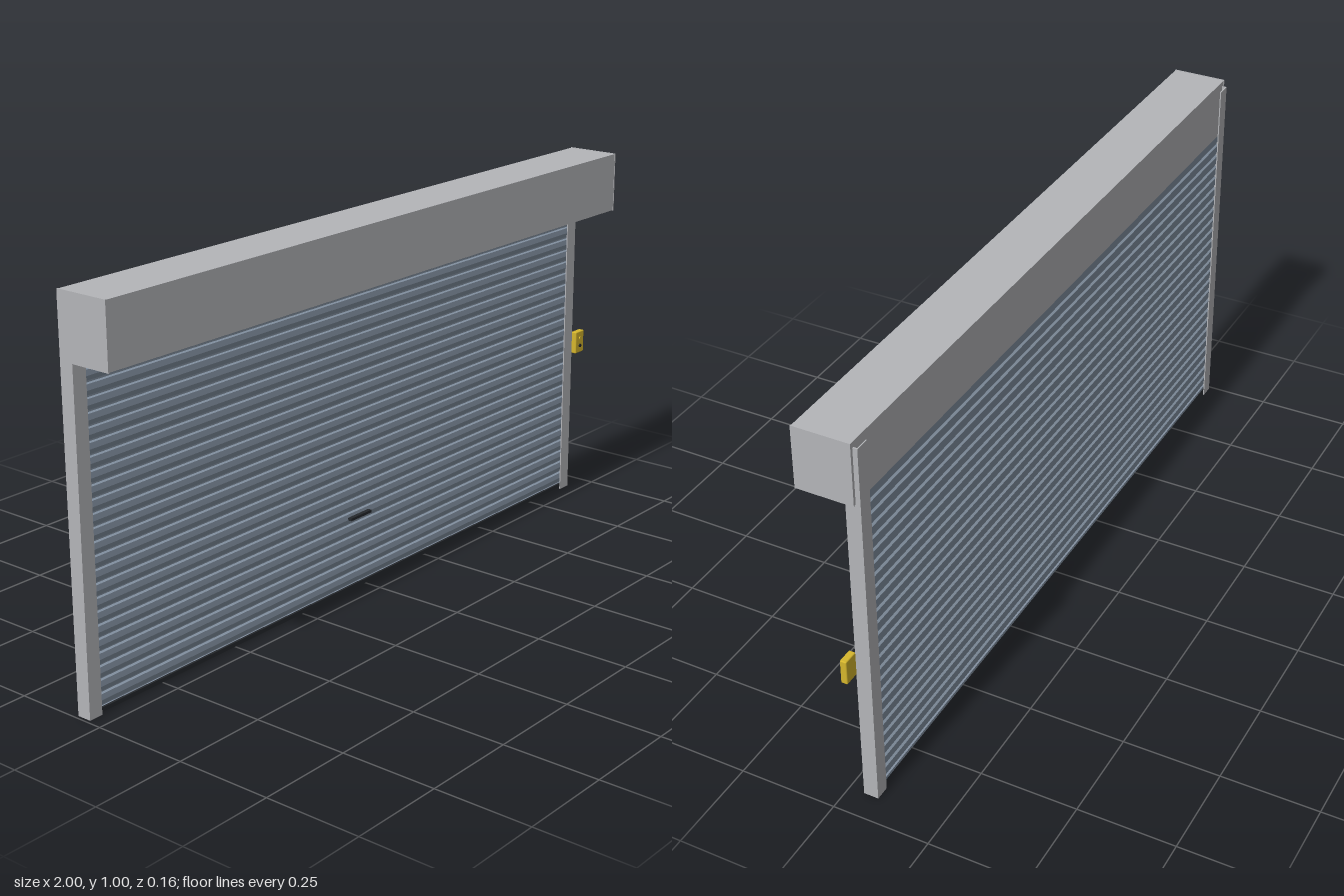
import * as THREE from 'three';
import { RoundedBoxGeometry } from 'three/addons/geometries/RoundedBoxGeometry.js';

const mat = (name, color) => {
  const m = new THREE.MeshStandardMaterial({ color });
  m.name = name;
  return m;
};

export function createModel() {
  const model = new THREE.Group();
  model.name = 'rollerShutter';
  const steel = mat('light grey steel', 0xb4b5b9);
  const slatBlue = mat('blue grey slats', 0x8290a0);
  const yellow = mat('yellow switch', 0xd6b62c);
  const dark = mat('dark rubber', 0x25282c);

  const cx = -0.03; // centre line of the door, the switch sits beyond it

  const add = (name, geometry, material, parent = model) => {
    const mesh = new THREE.Mesh(geometry, material);
    mesh.name = name;
    parent.add(mesh);
    return mesh;
  };
  // Box given by its minimum and maximum corners
  const box = (name, material, x0, x1, y0, y1, z0, z1, parent) => {
    const mesh = add(name, new THREE.BoxGeometry(x1 - x0, y1 - y0, z1 - z0), material, parent);
    mesh.position.set((x0 + x1) / 2, (y0 + y1) / 2, (z0 + z1) / 2);
    return mesh;
  };

  // Roll housing with slightly larger end plates
  const housing = new THREE.Group();
  housing.name = 'housing';
  model.add(housing);
  box('housingBox', steel, -0.997, 0.937, 0.846, 1.004, -0.066, 0.078, housing);
  box('housingEndRight', steel, -1, -0.997, 0.845, 1.005, -0.067, 0.079, housing);
  box('housingEndLeft', steel, 0.937, 0.94, 0.845, 1.005, -0.067, 0.079, housing);

  // Guide rails: C channels open towards the curtain
  for (const side of [-1, 1]) {
    const rail = new THREE.Group();
    rail.name = side < 0 ? 'guideRailRight' : 'guideRailLeft';
    rail.position.x = cx;
    model.add(rail);
    const outer = side * 0.961, inner = side * 0.923, web = side * 0.957;
    const span = (a, b) => [Math.min(a, b), Math.max(a, b)];
    box('railWeb', steel, ...span(web, outer), 0, 0.99, -0.078, -0.04, rail);
    box('railFront', steel, ...span(inner, web), 0, 0.845, -0.043, -0.04, rail);
    box('railBack', steel, ...span(inner, web), 0, 0.99, -0.078, -0.075, rail);
  }

  // Curtain: one ribbed profile swept across the opening
  const pitch = 0.0335, base = 0.0125, count = 25;
  const front = [], back = [];
  for (let i = 0; i < count; i++) {
    const y = base + i * pitch;
    front.push([-0.057, y], [-0.057, y + 0.005], [-0.05, y + 0.007],
      [-0.048, y + 0.018], [-0.05, y + 0.032]);
    back.push([-0.06, y], [-0.06, y + 0.005], [-0.065, y + 0.009], [-0.065, y + 0.03]);
  }
  const outline = [...front, ...back.reverse()].map(([z, y]) => new THREE.Vector2(-z, y));
  const curtain = new THREE.ExtrudeGeometry(new THREE.Shape(outline),
    { depth: 1.908, bevelEnabled: false });
  curtain.rotateY(Math.PI / 2);
  add('slatCurtain', curtain, slatBlue).position.x = cx - 0.954;

  // Bottom bar with rubber seal at its front
  box('bottomBar', slatBlue, cx - 0.954, cx + 0.954, 0.004, base, -0.065, -0.053);
  box('bottomSeal', dark, cx - 0.954, cx + 0.954, 0.002, 0.013, -0.053, -0.047);

  // Lift handle
  box('liftHandle', dark, -0.07, 0.012, 0.197, 0.204, -0.052, -0.038);

  // Wall switch with two buttons
  const control = new THREE.Group();
  control.name = 'wallSwitch';
  control.position.set(0.98, 0.43, -0.053);
  model.add(control);
  add('switchCase', new RoundedBoxGeometry(0.04, 0.064, 0.017, 2, 0.003), yellow, control);
  for (const y of [-0.011, 0.011]) {
    const button = add(y < 0 ? 'downButton' : 'upButton',
      new THREE.CylinderGeometry(0.005, 0.005, 0.004, 16), y < 0 ? dark : yellow, control);
    button.rotation.x = Math.PI / 2;
    button.position.set(0, y, 0.0095);
  }
  return model;
}
